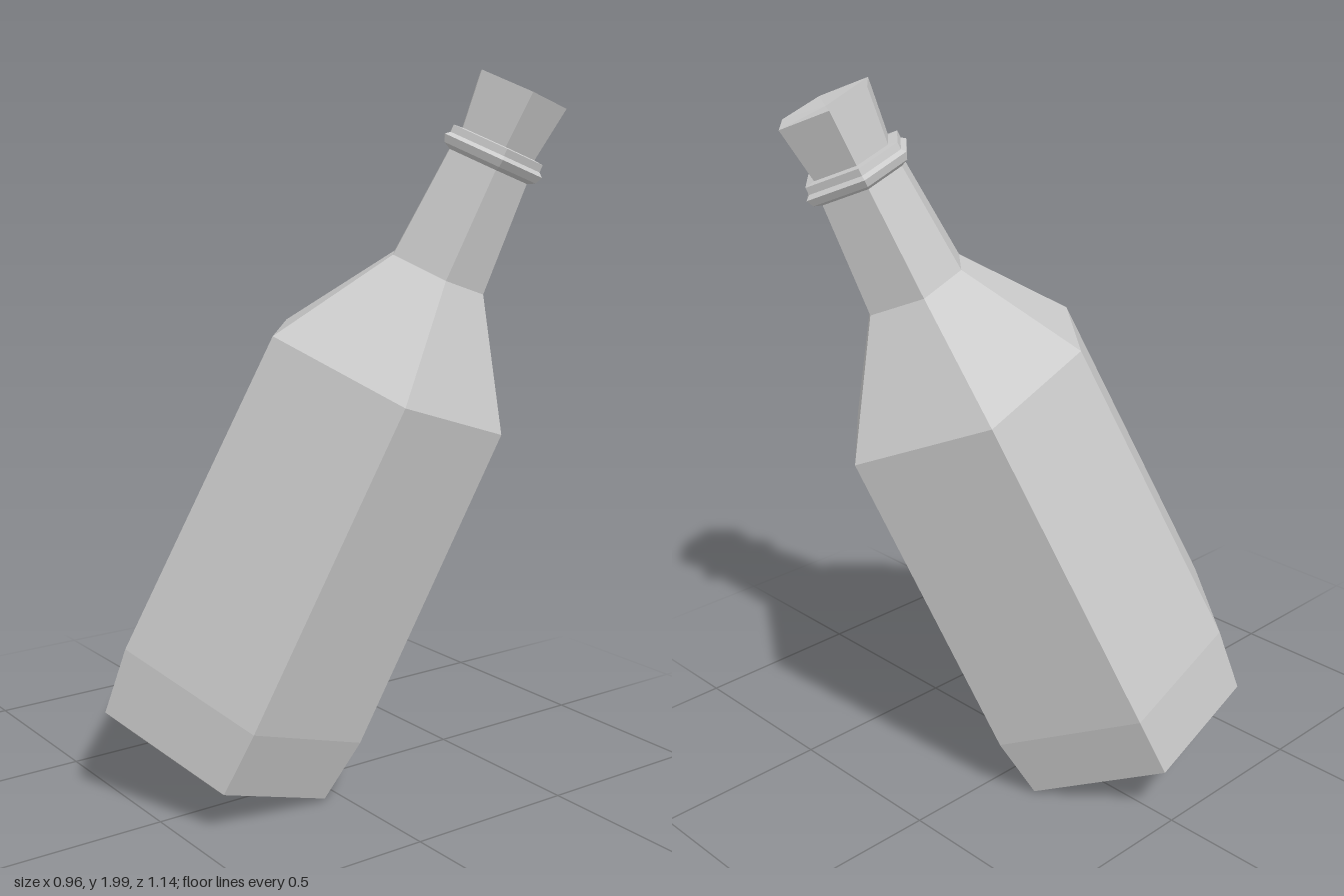
import * as THREE from 'three';

// Slightly irregular six-sided cross-section: [angle in degrees, radius], opposite corners mirrored
const half = [[0, 0.358], [58.8, 0.399], [121.8, 0.398]];
const spokes = [...half, ...half.map(([a, r]) => [a + 180, r])].map(([a, r]) => {
  const t = THREE.MathUtils.degToRad(a);
  return [r * Math.cos(t), -r * Math.sin(t)];
});

// Loft the cross-section along a profile of [height, scale]; scale 0 closes an end
function loft(name, profile) {
  const n = spokes.length;
  const positions = [];
  const index = [];
  for (const [y, k] of profile) {
    for (const [x, z] of spokes) positions.push(x * k, y, z * k);
  }
  for (let i = 0; i < profile.length - 1; i++) {
    for (let j = 0; j < n; j++) {
      const a = i * n + j;
      const b = i * n + (j + 1) % n;
      if (profile[i][1] > 0) index.push(a, b, b + n);
      if (profile[i + 1][1] > 0) index.push(a, b + n, a + n);
    }
  }
  const indexed = new THREE.BufferGeometry();
  indexed.setAttribute('position', new THREE.Float32BufferAttribute(positions, 3));
  indexed.setIndex(index);
  const geometry = indexed.toNonIndexed();
  geometry.computeVertexNormals();
  const mesh = new THREE.Mesh(geometry, new THREE.MeshStandardMaterial({ color: 0xcccccc, flatShading: true }));
  mesh.name = name;
  return mesh;
}

export function createModel() {
  const model = new THREE.Group();
  model.name = 'bottle';

  // Body with bevelled foot, shoulder and tapering neck
  const body = loft('body', [
    [-0.04, 0], [-0.04, 0.77], [0, 1], [0.197, 1.06], [1.142, 1], [1.451, 0.4], [1.78, 0.335], [1.815, 0.335], [1.815, 0],
  ]);
  // Collar around the mouth
  const collar = loft('collar', [
    [1.758, 0.33], [1.77, 0.4], [1.79, 0.425], [1.8, 0.39], [1.82, 0.39], [1.823, 0.3], [1.823, 0],
  ]);
  // Stopper, wider at the top, with a shallow dip
  const stopper = loft('stopper', [[1.81, 0], [1.81, 0.31], [1.975, 0.37], [1.967, 0]]);
  model.add(body, collar, stopper);

  // Lean the whole bottle along its axis
  const up = new THREE.Vector3(0.256, 0.913, -0.317).normalize();
  const side = new THREE.Vector3(-0.303, 0.133, 0.135);
  side.addScaledVector(up, -side.dot(up)).normalize();
  const front = new THREE.Vector3().crossVectors(side, up);
  model.quaternion.setFromRotationMatrix(new THREE.Matrix4().makeBasis(side, up, front));
  model.position.set(-0.152, 0.147, 0.195);

  const root = new THREE.Group();
  root.add(model);
  return root;
}
